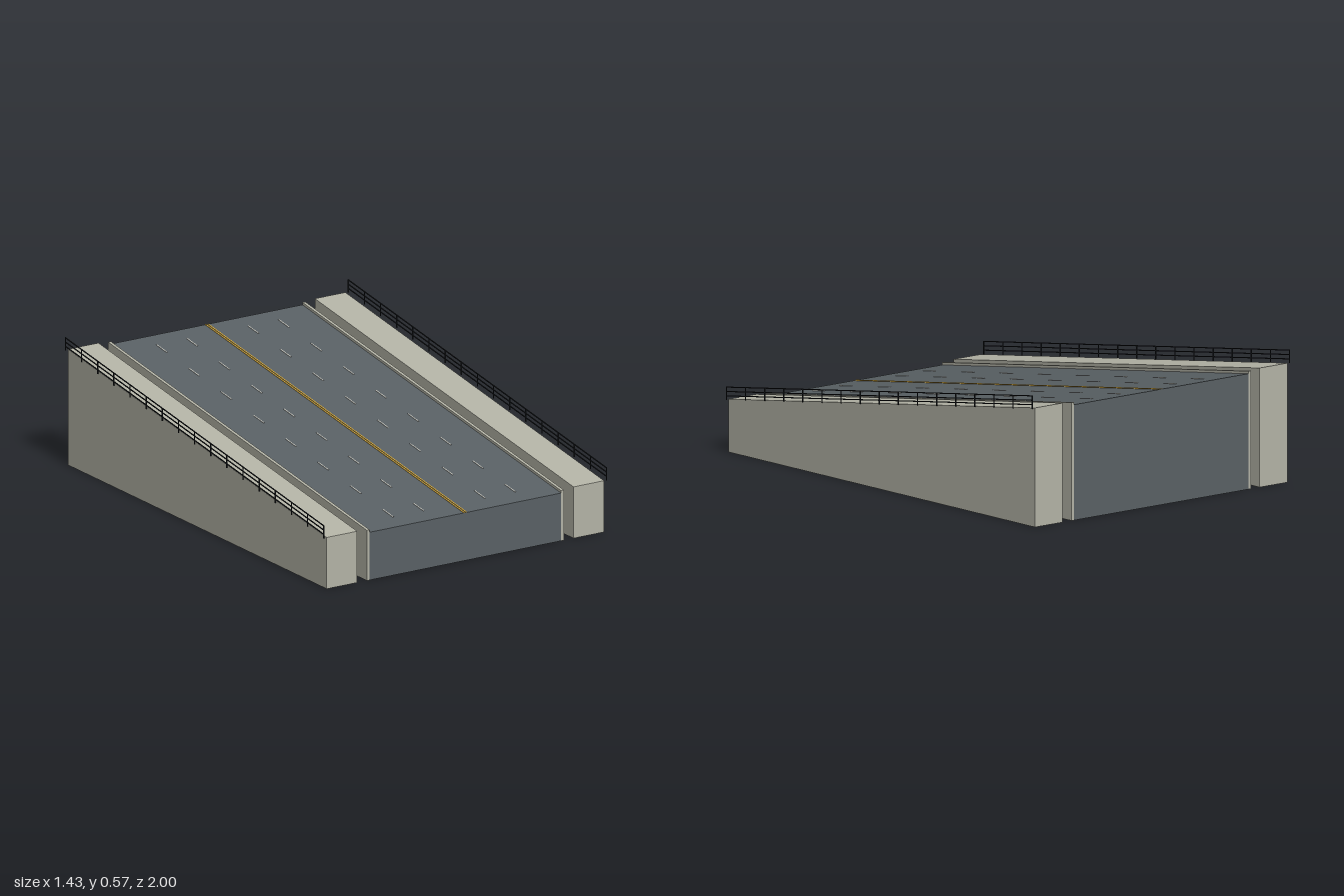
import * as THREE from 'three';

const material = (name, color) => new THREE.MeshStandardMaterial({ name, color });

// Height of the road surface at a given z
const roadY = (z) => 0.3565 - 0.1435 * z;

export function createModel() {
  const group = new THREE.Group();
  const asphalt = material('asphalt', 0x596064);
  const concrete = material('concrete', 0xb3b3a6);
  const yellow = material('yellowPaint', 0xdcae3c);
  const white = material('whitePaint', 0xdcdcd4);
  const iron = material('darkMetal', 0x1b1e21);

  // Box whose top (and bottom, unless grounded) follows the slope
  function sloped(name, mat, x, width, zMid, length, low, high, grounded = false, parent = group) {
    const geo = new THREE.BoxGeometry(width, 1, length);
    geo.translate(x, 0, zMid);
    const p = geo.attributes.position;
    for (let i = 0; i < p.count; i++) {
      const surface = roadY(p.getZ(i));
      if (p.getY(i) > 0) p.setY(i, surface + high);
      else p.setY(i, grounded ? 0 : surface + low);
    }
    geo.computeVertexNormals();
    const mesh = new THREE.Mesh(geo, mat);
    mesh.name = name;
    parent.add(mesh);
  }

  // Road body
  sloped('road', asphalt, 0, 0.968, 0, 2, 0, 0, true);

  for (const side of [-1, 1]) {
    // Curb and separate walkway
    sloped('curb', concrete, side * 0.491, 0.014, 0, 2, 0, 0.011, true);
    sloped('walkway', concrete, side * 0.624, 0.154, 0, 2, 0, 0.016, true);

    // Double centre line
    sloped('centreLine', yellow, side * 0.0055, 0.006, 0, 2, 0, 0.002);

    // Dashed lane lines
    for (const x of [0.155, 0.309]) {
      for (let i = 0; i < 8; i++) {
        sloped('laneDash', white, side * x, 0.005, -0.875 + i * 0.25, 0.08, 0, 0.002);
      }
    }

    // Railing: three rails on evenly spaced posts
    const railing = new THREE.Group();
    railing.name = 'railing';
    group.add(railing);
    for (const h of [0.034, 0.053, 0.072]) {
      sloped('rail', iron, side * 0.715, 0.004, 0, 2, h - 0.004, h, false, railing);
    }
    for (let i = 0; i <= 16; i++) {
      const z = -0.998 + i * 0.12475;
      sloped('post', iron, side * 0.715, 0.004, z, 0.004, 0.014, 0.072, false, railing);
    }
  }
  return group;
}
